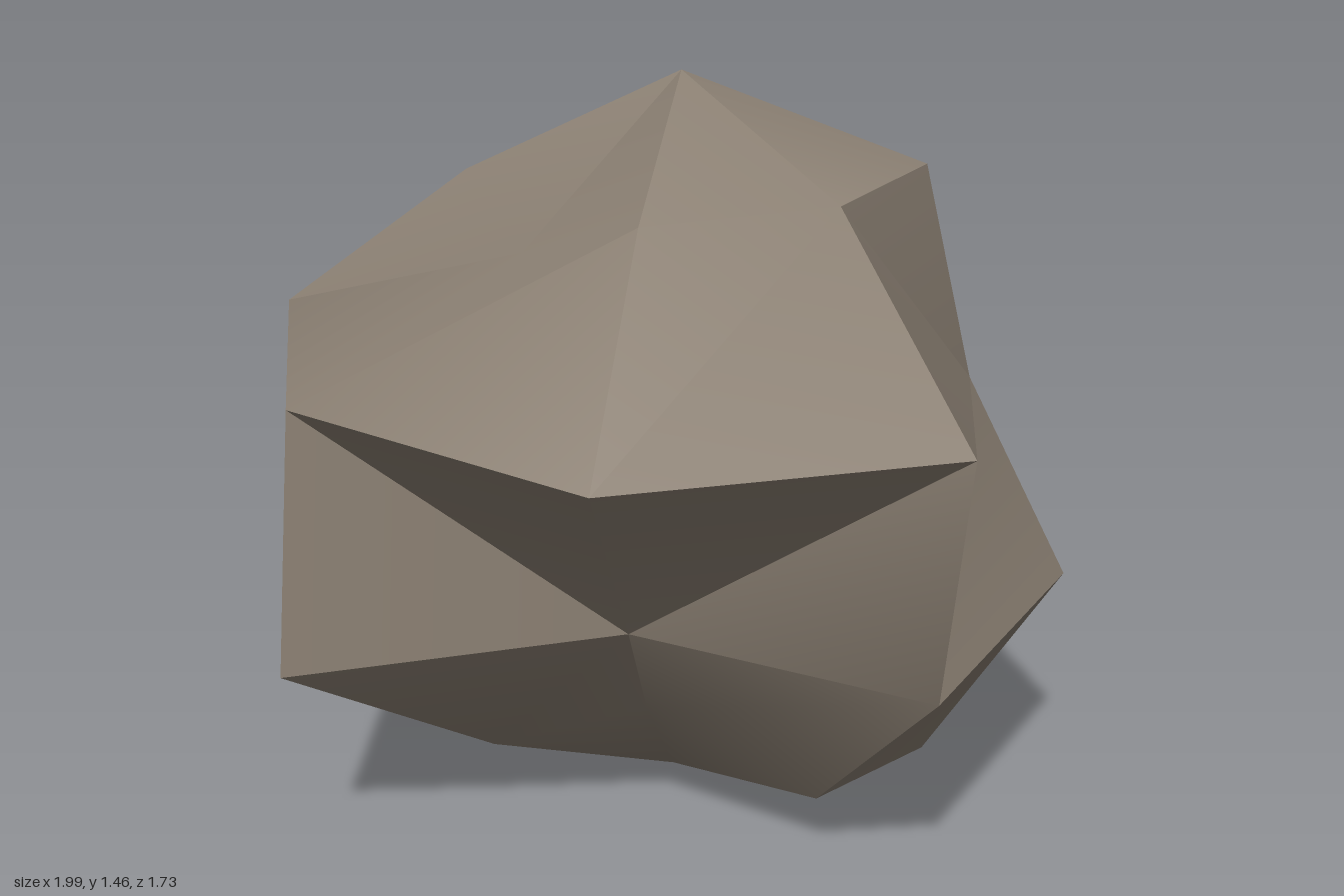
import * as THREE from 'three';
import { toCreasedNormals } from 'three/addons/utils/BufferGeometryUtils.js';

const SIDES = 8;

// A boulder: a coarse sphere of four uneven rings between two poles.
// rings hold horizontal radii from top to bottom; squash flattens the height;
// flips lists the [row, side] quads that fold along their other diagonal.
function boulderGeometry({ center, turn, top, bottom, squash, rings, flips = [] }) {
  const [cx, cy, cz] = center;
  const points = rings.map((radii, row) => radii.map((r, k) => {
    const angle = THREE.MathUtils.degToRad(turn) + (k * Math.PI * 2) / SIDES;
    const height = (r * squash) / Math.tan(((row + 1) * Math.PI) / 5);
    return [cx + r * Math.cos(angle), cy + height, cz + r * Math.sin(angle)];
  }));
  const topPole = [cx, top, cz];
  const bottomPole = [cx, bottom, cz];
  const last = points.length - 1;
  const positions = [];
  const face = (a, b, c) => positions.push(...a, ...b, ...c);

  for (let k = 0; k < SIDES; k++) {
    const n = (k + 1) % SIDES;
    face(topPole, points[0][n], points[0][k]);
    for (let row = 0; row < last; row++) {
      const upper = points[row];
      const lower = points[row + 1];
      if (flips.some(([r, s]) => r === row && s === k)) {
        face(upper[k], upper[n], lower[k]);
        face(upper[n], lower[n], lower[k]);
      } else {
        face(upper[k], upper[n], lower[n]);
        face(upper[k], lower[n], lower[k]);
      }
    }
    face(bottomPole, points[last][k], points[last][n]);
  }

  const geometry = new THREE.BufferGeometry();
  geometry.setAttribute('position', new THREE.Float32BufferAttribute(positions, 3));
  return toCreasedNormals(geometry, THREE.MathUtils.degToRad(35));
}

function material(name, color) {
  const m = new THREE.MeshStandardMaterial({ color });
  m.name = name;
  return m;
}

export function createModel() {
  const group = new THREE.Group();
  group.name = 'rocks';

  // Large grey boulder
  const large = new THREE.Mesh(boulderGeometry({
    center: [0.19, 0.73, 0.02],
    turn: 15.5,
    top: 1.46,
    bottom: 0,
    squash: 0.92,
    rings: [
      [0.465, 0.45, 0.35, 0.41, 0.36, 0.44, 0.33, 0.455],
      [0.835, 0.885, 0.835, 0.775, 0.65, 0.64, 0.56, 0.555],
      [0.78, 0.53, 0.875, 0.68, 0.785, 0.65, 0.62, 0.757],
      [0.46, 0.33, 0.43, 0.38, 0.46, 0.42, 0.51, 0.505],
    ],
    flips: [[0, 7], [1, 1]],
  }), material('stone grey', 0x8a7f72));
  large.name = 'largeBoulder';

  // Small brown rock leaning at the back right
  const small = new THREE.Mesh(boulderGeometry({
    center: [-0.555, 0.48, -0.48],
    turn: 27.3,
    top: 0.83,
    bottom: 0.19,
    squash: 0.76,
    rings: [
      [0.21, 0.20, 0.22, 0.255, 0.25, 0.265, 0.25, 0.25],
      [0.40, 0.41, 0.46, 0.436, 0.50, 0.41, 0.43, 0.356],
      [0.40, 0.47, 0.385, 0.447, 0.42, 0.37, 0.44, 0.35],
      [0.25, 0.287, 0.22, 0.20, 0.297, 0.215, 0.22, 0.255],
    ],
  }), material('rust brown', 0x7c4523));
  small.name = 'smallRock';

  group.add(large, small);
  return group;
}
